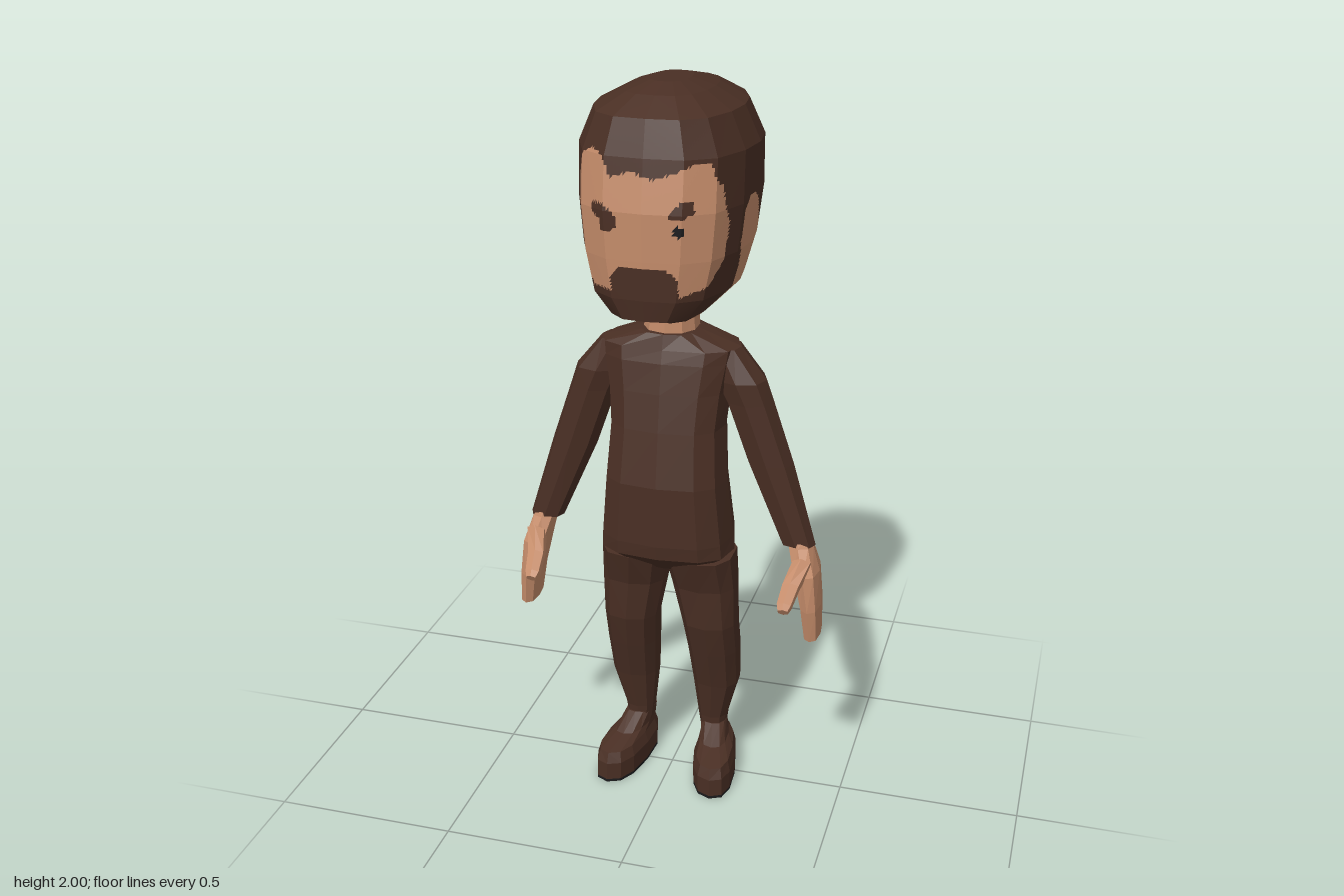
import * as THREE from 'three';

const paint = (name, color) => {
  const m = new THREE.MeshStandardMaterial({ color });
  m.name = name;
  return m;
};

// closed outline running from +z towards +x; a lower power is boxier
function ring(n, power) {
  const f = v => Math.sign(v) * Math.pow(Math.abs(v) < 1e-9 ? 0 : Math.abs(v), power);
  return Array.from({ length: n }, (_, i) => {
    const a = (i / n) * Math.PI * 2;
    return [f(Math.sin(a)), f(Math.cos(a))];
  });
}

// faceted geometry from a flat list of triangle corners
function facets(points) {
  const g = new THREE.BufferGeometry();
  g.setAttribute('position', new THREE.Float32BufferAttribute(points.flatMap(p => [p.x, p.y, p.z]), 3));
  g.computeVertexNormals();
  return g;
}

// skin over rows [y, x0, x1, z0, z1] from bottom to top, with closed ends;
// each quad can be cut finer so that painted areas can be split off
function loft(rows, outline, cuts = 1) {
  const n = outline.length, out = [];
  const at = ([y, x0, x1, z0, z1], j) => {
    const [u, v] = outline[j % n];
    return new THREE.Vector3((x0 + x1) / 2 + u * (x1 - x0) / 2, y, (z0 + z1) / 2 + v * (z1 - z0) / 2);
  };
  for (let i = 0; i < rows.length - 1; i++) {
    for (let j = 0; j < n; j++) {
      const a = at(rows[i], j), b = at(rows[i], j + 1), c = at(rows[i + 1], j + 1), d = at(rows[i + 1], j);
      const p = (u, v) => a.clone().lerp(b, u / cuts).lerp(d.clone().lerp(c, u / cuts), v / cuts);
      for (let u = 0; u < cuts; u++) {
        for (let v = 0; v < cuts; v++) {
          out.push(p(u, v), p(u + 1, v), p(u + 1, v + 1), p(u, v), p(u + 1, v + 1), p(u, v + 1));
        }
      }
    }
  }
  const low = rows[0], top = rows[rows.length - 1];
  const mid = ([y, x0, x1, z0, z1]) => new THREE.Vector3((x0 + x1) / 2, y, (z0 + z1) / 2);
  for (let j = 0; j < n; j++) {
    out.push(mid(low), at(low, j + 1), at(low, j));
    out.push(mid(top), at(top, j), at(top, j + 1));
  }
  return out;
}

const flip = points => {
  const m = points.map(p => new THREE.Vector3(-p.x, p.y, p.z));
  for (let i = 0; i < m.length; i += 3) [m[i + 1], m[i + 2]] = [m[i + 2], m[i + 1]];
  return m;
};

const sym = rows => rows.map(([y, h, z0, z1]) => [y, -h, h, z0, z1]);

function inside(poly, x, y) {
  let hit = false;
  poly.forEach(([x1, y1], i) => {
    const [x2, y2] = poly[(i + 1) % poly.length];
    if ((y1 > y) !== (y2 > y) && x < x1 + ((y - y1) * (x2 - x1)) / (y2 - y1)) hit = !hit;
  });
  return hit;
}

// painted areas of the head: face and brows in x, y; cheek and nape in z, y
const FACE = [[-.186, 1.79], [-.165, 1.846], [-.138, 1.862], [-.106, 1.85], [-.085, 1.8], [-.03, 1.82], [.02, 1.8],
  [.065, 1.815], [.127, 1.84], [.155, 1.84], [.18, 1.777], [.19, 1.687], [.18, 1.597], [.15, 1.533], [.09, 1.512],
  [.085, 1.56], [.055, 1.586], [-.058, 1.586], [-.085, 1.555], [-.08, 1.522], [-.138, 1.522], [-.17, 1.575], [-.186, 1.66]];
const CHEEK = [[.16, 1.38], [.08, 1.5], [.075, 1.55], [.1, 1.62], [.095, 1.7], [.06, 1.735], [.02, 1.725],
  [-.02, 1.69], [-.235, 1.52], [-.4, 1.52], [-.4, 1.38]];
const BROWS = [
  [[-.133, 1.735], [-.1, 1.735], [-.07, 1.712], [-.064, 1.685], [-.09, 1.665], [-.111, 1.676], [-.111, 1.698], [-.133, 1.708]],
  [[.064, 1.72], [.095, 1.75], [.122, 1.75], [.127, 1.724], [.095, 1.708], [.069, 1.708]]];

function headArea(p) {
  if (p.z > .1 && inside(FACE, p.x, p.y)) {
    if (Math.hypot(p.x - .09, p.y - 1.68) < .014) return 'eye';
    return BROWS.some(b => inside(b, p.x, p.y)) ? 'hair' : 'skin';
  }
  return inside(CHEEK, p.z, p.y) ? 'skin' : 'hair';
}

export function createModel() {
  const model = new THREE.Group();
  model.name = 'figure';
  const brown = paint('dark brown', 0x4a2f24);
  const skin = paint('skin', 0xc68d6b);
  const black = paint('black', 0x1b1b1d);

  const add = (name, points, material) => {
    const mesh = new THREE.Mesh(facets(points), material);
    mesh.name = name;
    model.add(mesh);
  };
  const pair = (name, points, material) => {
    add('left' + name, points, material);
    add('right' + name, flip(points), material);
  };

  // head, split into hair, skin and eye
  const half = [[0, 1], [.44, .97], [.75, .79], [.94, .4], [1, 0], [.94, -.4], [.75, -.79], [.44, -.97]];
  const headOutline = [...half, ...half.map(([x, z]) => [-x, -z])];
  const head = loft(sym([
    [1.39, .07, -.07, .08], [1.415, .1, -.12, .17], [1.445, .13, -.165, .258], [1.5, .186, -.215, .267],
    [1.6, .213, -.25, .272], [1.72, .226, -.277, .276], [1.85, .226, -.268, .257], [1.94, .186, -.235, .235],
    [1.98, .11, -.17, .155], [2, .05, -.08, .08]]), headOutline, 12);
  const areas = { hair: [], skin: [], eye: [] };
  for (let i = 0; i < head.length; i += 3) {
    const t = head.slice(i, i + 3);
    const c = t[0].clone().add(t[1]).add(t[2]).divideScalar(3);
    const list = areas[headArea(c)];
    t.forEach(p => list.push(p));
  }
  add('hairAndBeard', areas.hair, brown);
  add('headSkin', areas.skin, skin);
  add('eye', areas.eye, black);

  // neck and shirt
  add('neck', loft(sym([[1.31, .075, -.075, .08], [1.42, .068, -.07, .075]]), ring(10, .9), 1), skin);
  add('shirt', loft(sym([
    [.68, .11, -.06, .09], [.74, .185, -.09, .16], [.78, .182, -.1, .166], [.95, .166, -.07, .165],
    [1.1, .156, -.085, .142], [1.2, .165, -.1, .125], [1.28, .18, -.1, .11], [1.315, .185, -.09, .1],
    [1.355, .075, -.075, .09]]), ring(12, .72)), brown);

  // sleeves
  pair('Sleeve', loft([
    [.772, .31, .405, -.02, .052], [1, .21, .337, -.045, .062], [1.17, .15, .28, -.05, .07],
    [1.23, .12, .26, -.05, .075], [1.315, .1, .19, -.04, .06]], ring(8, .85)), brown);

  // hands with thumbs reaching forward
  pair('Hand', loft([
    [.51, .388, .43, -.03, .085], [.6, .375, .428, -.042, .093], [.7, .35, .42, -.045, .088],
    [.77, .33, .398, -.03, .055], [.8, .33, .385, -.01, .045]], ring(8, .75)), skin);
  const tilt = new THREE.Matrix4().makeRotationX(.98).setPosition(0, .725, .055);
  pair('Thumb', loft([
    [0, .35, .405, -.035, .03], [.07, .335, .385, -.022, .022], [.13, .332, .375, -.02, .018],
    [.148, .338, .368, -.014, .012]], ring(6, .85)).map(p => {
    // run the thumb forward and down from the palm
    const q = new THREE.Vector3(p.x, p.y, -p.z).applyMatrix4(tilt);
    q.y = 1.45 - q.y;
    return q;
  }), skin);

  // trouser legs
  pair('Leg', loft([
    [.11, .075, .145, -.1, -.015], [.16, .068, .152, -.1, -.01], [.28, .055, .185, -.115, .018],
    [.4, .046, .19, -.1, .055], [.5, .036, .19, -.07, .083], [.62, .01, .19, -.066, .095],
    [.72, -.01, .185, -.08, .13]], ring(10, .8)), brown);

  // shoes turned slightly outward, on thin soles
  const splay = p => new THREE.Vector3(p.x + .14 * p.z, p.y, p.z);
  const shoe = ring(12, .8);
  pair('Shoe', loft([
    [.008, .07, .19, -.13, .157], [.06, .068, .19, -.13, .157], [.09, .078, .182, -.122, .145],
    [.105, .082, .165, -.118, .06], [.14, .08, .156, -.105, -.01]], shoe).map(splay), brown);
  pair('Sole', loft([[0, .07, .19, -.13, .157], [.008, .07, .19, -.13, .157]], shoe).map(splay), black);

  return model;
}
